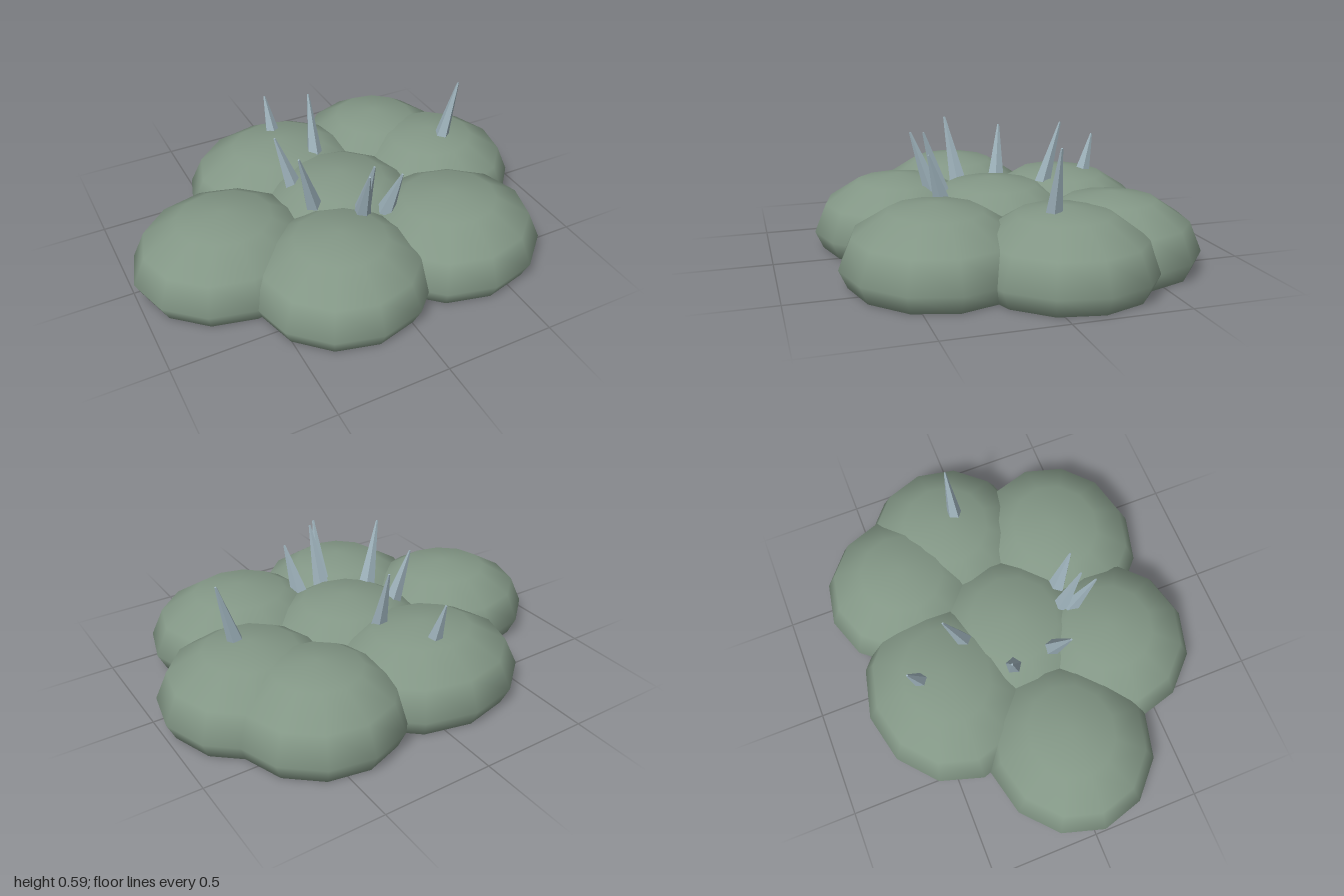
import * as THREE from 'three';

// Clump of low, flat-bottomed cushions with thin thorns
export function createModel() {
  const group = new THREE.Group();
  const green = new THREE.MeshStandardMaterial({ color: 0x839786 });
  green.name = 'sage green';
  const grey = new THREE.MeshStandardMaterial({ color: 0x9db1ba, flatShading: true });
  grey.name = 'thorn blue grey';

  // Unit dome: the last ring of the sphere is pulled up to the ground line
  const WAIST = 0.08, RISE = 0.255, FOOT = 0.91;
  const dome = new THREE.SphereGeometry(1, 12, 4, 0, Math.PI * 2, 0, Math.PI * 2 / 3);
  const p = dome.attributes.position;
  for (let i = 0; i < p.count; i++) {
    if (p.getY(i) < -0.1) {
      const k = FOOT / Math.hypot(p.getX(i), p.getZ(i));
      p.setXYZ(i, p.getX(i) * k, -WAIST / RISE, p.getZ(i) * k);
    }
  }
  const base = new THREE.CircleGeometry(FOOT, 12).rotateX(Math.PI / 2).translate(0, -WAIST / RISE, 0);

  // Cushions: name, x, z, radius x, radius z, turn
  const lobes = [
    ['centre', 0.02, 0, 0.42, 0.41, 0],
    ['right', -0.57, 0.04, 0.43, 0.39, 0],
    ['backRight', -0.12, -0.385, 0.46, 0.40, 0],
    ['backLeft', 0.43, -0.41, 0.39, 0.39, 0.08],
    ['left', 0.59, -0.13, 0.41, 0.405, 0.07],
    ['frontLeft', 0.39, 0.36, 0.435, 0.405, 0],
    ['frontRight', -0.18, 0.395, 0.41, 0.40, 0],
  ];
  for (const [name, x, z, rx, rz, turn] of lobes) {
    const lobe = new THREE.Group();
    lobe.name = name + 'Cushion';
    const top = new THREE.Mesh(dome, green);
    top.name = 'cushionDome';
    const bottom = new THREE.Mesh(base, green);
    bottom.name = 'cushionBase';
    lobe.add(top, bottom);
    lobe.position.set(x, WAIST, z);
    lobe.scale.set(rx, RISE, rz);
    lobe.rotation.y = turn;
    group.add(lobe);
  }

  // Thorns: base point, tip point
  const thorns = [
    [[-0.10, 0.26, -0.49], [-0.115, 0.48, -0.55]],
    [[0.01, 0.25, -0.24], [0.02, 0.57, -0.33]],
    [[-0.18, 0.26, -0.08], [-0.25, 0.525, -0.115]],
    [[-0.165, 0.26, 0.11], [-0.255, 0.575, 0.155]],
    [[-0.01, 0.26, 0.27], [-0.03, 0.55, 0.37]],
    [[0.01, 0.25, 0.23], [0.02, 0.555, 0.32]],
    [[0.12, 0.25, 0.26], [0.155, 0.48, 0.33]],
    [[0.61, 0.26, -0.07], [0.695, 0.59, -0.07]],
  ];
  const up = new THREE.Vector3(0, 1, 0);
  thorns.forEach(([a, b], i) => {
    const from = new THREE.Vector3(...a), to = new THREE.Vector3(...b);
    const length = from.distanceTo(to);
    const thorn = new THREE.Mesh(new THREE.CylinderGeometry(0.005, 0.042, length, 5), grey);
    thorn.name = 'thorn' + (i + 1);
    thorn.position.lerpVectors(from, to, 0.5);
    thorn.quaternion.setFromUnitVectors(up, to.clone().sub(from).normalize());
    group.add(thorn);
  });
  return group;
}
